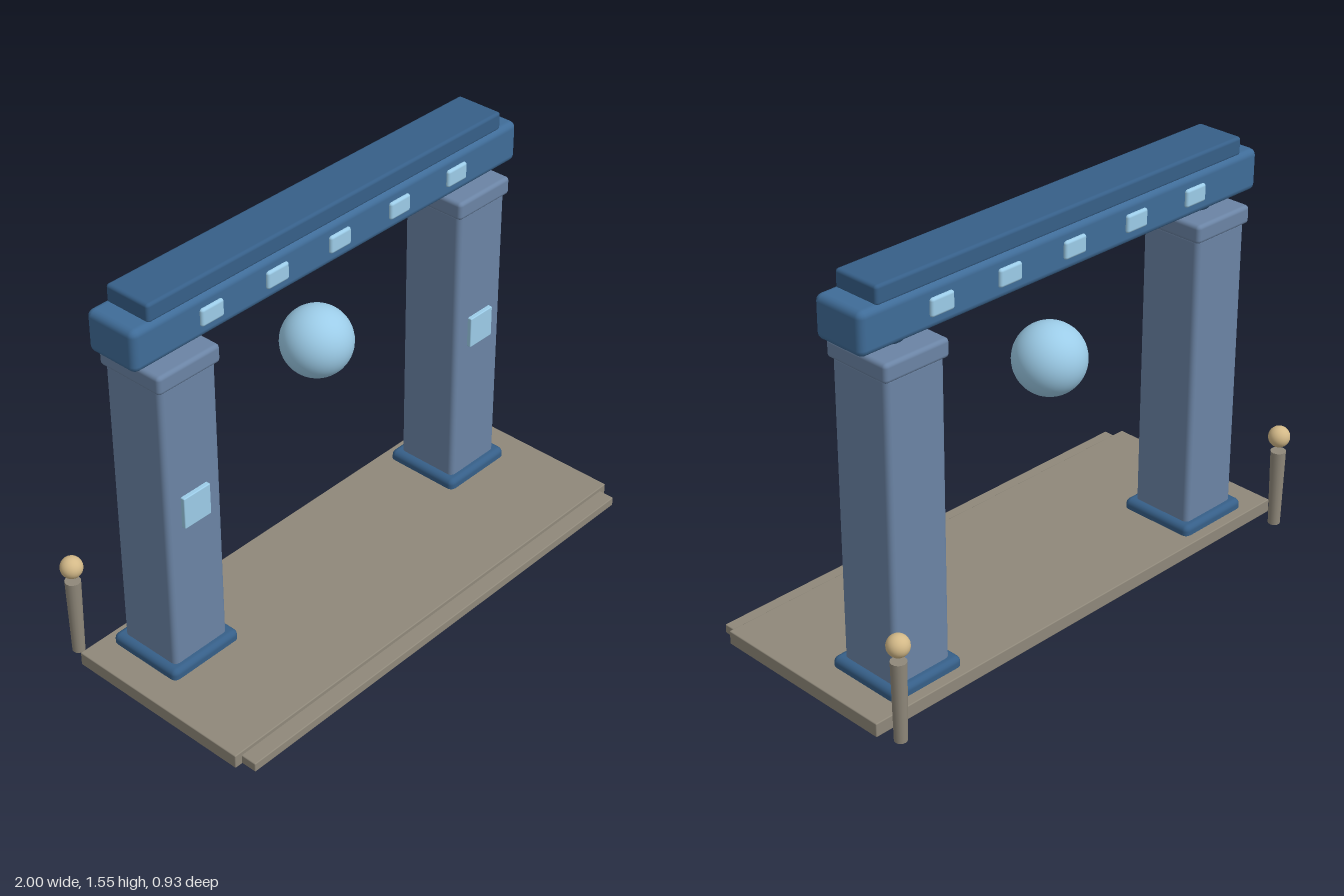
import * as THREE from 'three';
import { RoundedBoxGeometry } from 'three/addons/geometries/RoundedBoxGeometry.js';

const material = (color) => new THREE.MeshStandardMaterial({ color });

export function createModel() {
  const group = new THREE.Group();
  const beamBlue = material(0x3f6c98);
  const darkBlue = material(0x365f88);
  const pillarBlue = material(0x6b84a5);
  const stone = material(0x8f887a);
  const glow = material(0x9ccce8);
  const brass = material(0xd3b988);
  const Z = -0.16; // depth of the gate's centre line

  const add = (name, geometry, mat, x, y, z) => {
    const mesh = new THREE.Mesh(geometry, mat);
    mesh.name = name;
    mesh.position.set(x, y, z);
    group.add(mesh);
    return mesh;
  };
  // Bevelled block given by its bottom and top heights
  const block = (name, mat, w, d, y0, y1, x, z, bevel) =>
    add(name, new RoundedBoxGeometry(w, y1 - y0, d, 2, bevel), mat, x, (y0 + y1) / 2, z);

  // Platform and front step
  block('platform', stone, 2, 0.757, 0.008, 0.062, 0, 0.022, 0.004);
  block('frontStep', stone, 1.94, 0.12, 0.01, 0.046, 0, 0.402, 0.004);

  for (const side of [-1, 1]) {
    const x = side * 0.727;
    // Pillar with base, capital and bearing
    block('pillarBase', darkBlue, 0.312, 0.312, 0, 0.1, x, Z, 0.022);
    block('pillar', pillarBlue, 0.25, 0.255, 0.07, 1.245, x, Z, 0.02);
    block('capital', pillarBlue, 0.274, 0.278, 1.23, 1.3, x, Z, 0.015);
    add('bearing', new THREE.CylinderGeometry(0.085, 0.045, 0.055, 24), darkBlue, x, 1.3175, Z);
    block('pillarPanel', glow, 0.12, 0.03, 0.664, 0.788, x, -0.031, 0.004);

    // Lamp post behind the platform corner
    add('lampPost', new THREE.CylinderGeometry(0.029, 0.023, 0.31, 16), stone, side * 0.953, 0.165, -0.422);
    add('lampGlobe', new THREE.SphereGeometry(0.041, 24, 16), brass, side * 0.953, 0.38, -0.422);
  }

  // Lintel and the slab on top of it
  block('lintel', beamBlue, 1.862, 0.215, 1.33, 1.486, 0, Z, 0.025);
  block('topSlab', darkBlue, 1.704, 0.19, 1.478, 1.548, 0, Z, 0.012);

  // Inlays on the front and back of the lintel
  for (let i = -2; i <= 2; i++) {
    for (const face of [-1, 1]) {
      block('lintelInlay', glow, 0.1, 0.03, 1.376, 1.442, i * 0.298, Z + face * 0.104, 0.01);
    }
  }

  // Floating orb
  add('orb', new THREE.SphereGeometry(0.132, 40, 28), glow, 0, 0.96, Z);

  return group;
}
